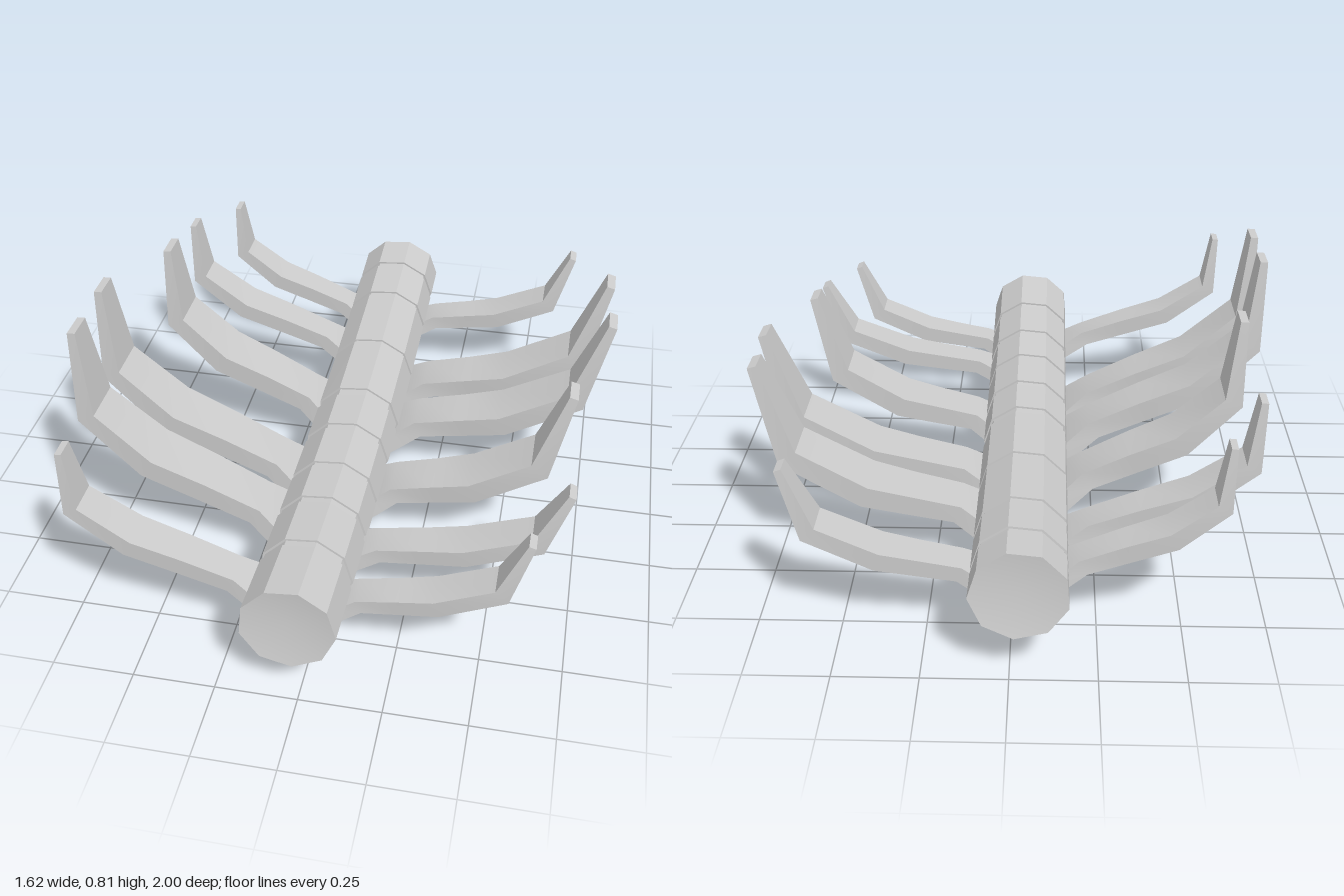
import * as THREE from 'three';
import { toCreasedNormals } from 'three/addons/utils/BufferGeometryUtils.js';

const material = new THREE.MeshStandardMaterial({ color: 0xcccccc });

// Skin a list of rings (arrays of Vector3); caps can be dished inward by `dish`
function loft(rings, name, dishStart = 0, dishEnd = 0) {
  const n = rings[0].length, pos = [], idx = [];
  rings.forEach(r => r.forEach(p => pos.push(p.x, p.y, p.z)));
  for (let i = 0; i < rings.length - 1; i++) {
    for (let j = 0; j < n; j++) {
      const a = i * n + j, b = i * n + (j + 1) % n;
      idx.push(a, b, b + n, a, b + n, a + n);
    }
  }
  const last = (rings.length - 1) * n, c = last + n;
  const middle = r => r.reduce((s, p) => s.add(p), new THREE.Vector3()).divideScalar(n);
  const m0 = middle(rings[0]), m1 = middle(rings[rings.length - 1]);
  pos.push(m0.x, m0.y, m0.z + dishStart, m1.x, m1.y, m1.z - dishEnd);
  for (let j = 0; j < n; j++) {
    const k = (j + 1) % n;
    idx.push(c, k, j, c + 1, last + j, last + k);
  }
  const g = new THREE.BufferGeometry();
  g.setAttribute('position', new THREE.Float32BufferAttribute(pos, 3));
  g.setIndex(idx);
  const mesh = new THREE.Mesh(toCreasedNormals(g, 0.6), material);
  mesh.name = name;
  return mesh;
}

// Nine-sided ring of the spine, leaning with the sag of its centre line
function spineRing(z, scale) {
  const ring = [], cy = 0.222 + 0.06 * z * z, slope = 0.12 * z;
  for (let i = 0; i < 9; i++) {
    const a = THREE.MathUtils.degToRad(-4 + 40 * i);
    const dy = 0.133 * scale * Math.sin(a);
    ring.push(new THREE.Vector3(-0.028 + 0.143 * scale * Math.cos(a), cy + dy, z - slope * dy));
  }
  return ring;
}

function buildSpine() {
  const spine = new THREE.Group();
  spine.name = 'spine';
  const gaps = [[-0.85, -0.825], [-0.66, -0.64], [-0.36, -0.345], [-0.07, -0.03],
    [0.13, 0.16], [0.34, 0.36], [0.52, 0.55], [0.735, 0.765]];
  let start = -0.985;
  [...gaps, [0.985, null]].forEach(([a, b], i) => {
    spine.add(loft([spineRing(start, 1), spineRing(a, 1)], `vertebra${i + 1}`,
      i === 0 ? 0.02 : 0, b === null ? 0.02 : 0));
    if (b !== null) {
      spine.add(loft([spineRing(a - 0.01, 0.95), spineRing(b + 0.01, 0.95)], `disc${i + 1}`));
      start = b;
    }
  });
  return spine;
}

// Rib stations: x, y, thickness, relative half width, from root to tip
const leftProfile = [
  [0.01, 0.085, 0.055, 1.4], [0.1, 0.145, 0.06, 1.15], [0.18, 0.195, 0.06, 0.85],
  [0.33, 0.227, 0.065, 0.9], [0.47, 0.26, 0.07, 1], [0.705, 0.39, 0.07, 0.95],
  [0.795, 0.675, 0.028, 0.5]];
const rightProfile = [
  [-0.05, 0.028, 0.055, 1.35], [-0.17, 0.125, 0.06, 1.25], [-0.26, 0.195, 0.065, 0.85],
  [-0.43, 0.275, 0.07, 0.92], [-0.6, 0.35, 0.07, 1], [-0.78, 0.52, 0.06, 0.9],
  [-0.8, 0.813, 0.025, 0.52]];

// Stretch a profile so it ends at the given root height and tip, then skin it
function buildRib(profile, name, [z, tipX, tipY, rootY, half]) {
  const root = profile[0], tip = profile[profile.length - 1];
  const sx = (tipX - root[0]) / (tip[0] - root[0]);
  const sy = (tipY - rootY) / (tip[1] - root[1]);
  const thin = Math.min(1, 0.35 + half * 7.6);
  const pts = profile.map(([x, y]) =>
    new THREE.Vector3(root[0] + (x - root[0]) * sx, rootY + (y - root[1]) * sy, z));
  const rings = pts.map((p, i) => {
    const before = p.clone().sub(pts[Math.max(i - 1, 0)]).normalize();
    const after = pts[Math.min(i + 1, pts.length - 1)].clone().sub(p).normalize();
    const t = before.add(after).normalize();
    const h = profile[i][2] * thin / 2, w = profile[i][3] * half;
    return [[1, 1], [-1, 1], [-1, -1], [1, -1]].map(([u, v]) =>
      new THREE.Vector3(p.x + t.y * h * v, p.y - t.x * h * v, z + u * w));
  });
  return loft(rings, name);
}

export function createModel() {
  const model = new THREE.Group();
  model.name = 'ribcage';
  model.add(buildSpine());

  // Each rib: z, tip x, tip y, root y, half width
  const leftRibs = [
    [0.765, 0.625, 0.53, 0.155, 0.056], [0.55, 0.72, 0.54, 0.16, 0.06],
    [0.21, 0.695, 0.645, 0.09, 0.083], [-0.15, 0.795, 0.675, 0.08, 0.085],
    [-0.38, 0.78, 0.68, 0.08, 0.085], [-0.755, 0.645, 0.545, 0.145, 0.06]];
  const rightRibs = [
    [0.77, -0.72, 0.657, 0.14, 0.06], [0.39, -0.8, 0.813, 0.028, 0.085],
    [0.16, -0.8, 0.815, 0.028, 0.085], [-0.2, -0.695, 0.763, 0.06, 0.085],
    [-0.54, -0.718, 0.66, 0.11, 0.062], [-0.75, -0.61, 0.628, 0.14, 0.056]];
  leftRibs.forEach((r, i) => model.add(buildRib(leftProfile, `leftRib${i + 1}`, r)));
  rightRibs.forEach((r, i) => model.add(buildRib(rightProfile, `rightRib${i + 1}`, r)));
  return model;
}
